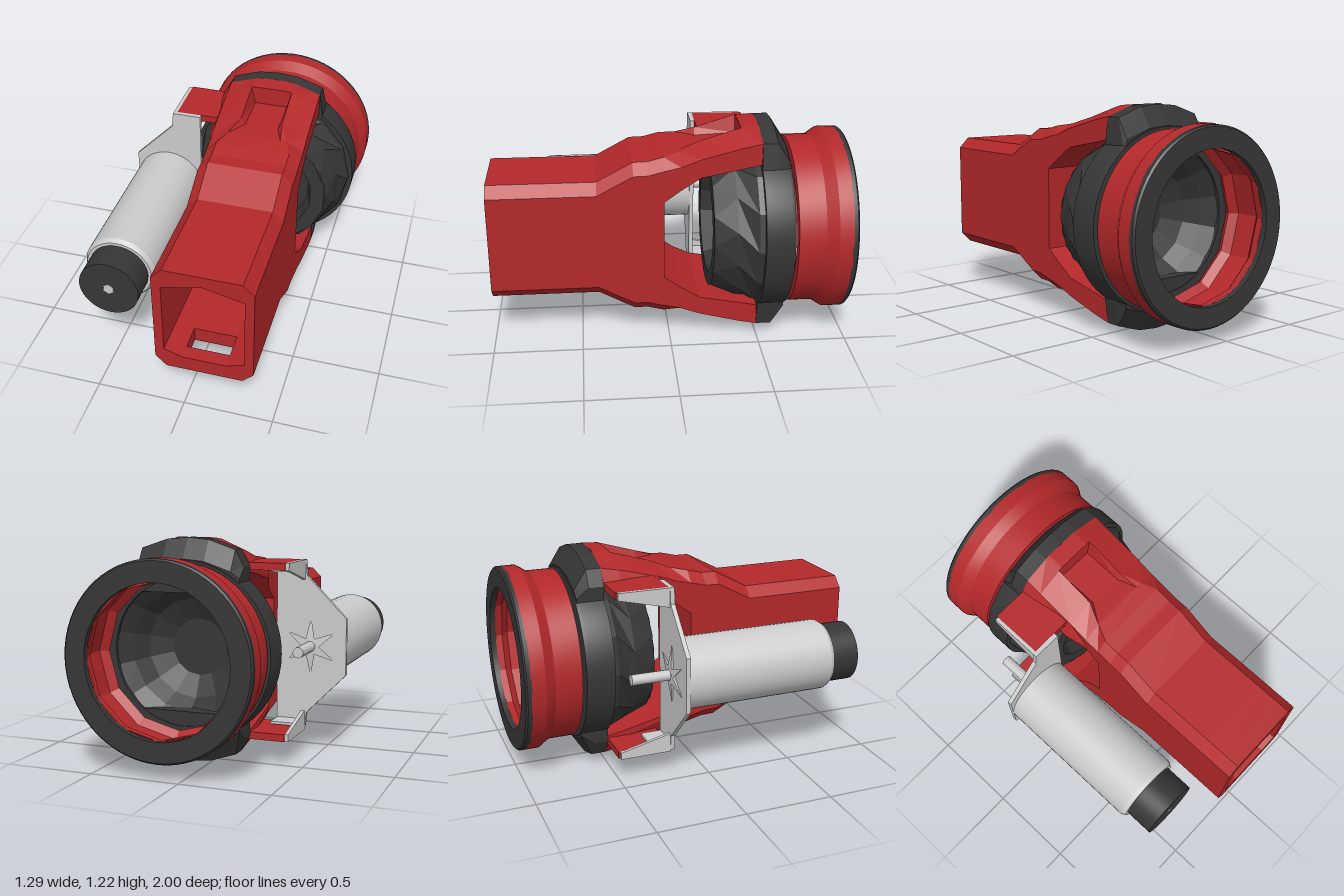
import * as THREE from 'three';
import { toCreasedNormals } from 'three/addons/utils/BufferGeometryUtils.js';

const CX = 0.12, CY = 0.61; // main axis
const MX = -0.45;           // motor axis
const mat = (color, flat = true) =>
  new THREE.MeshStandardMaterial({ color, flatShading: flat, side: THREE.DoubleSide });
const red = mat(0xb3282a), redSmooth = mat(0xb3282a, false);
const black = mat(0x363636), blackSmooth = mat(0x363636, false);
const grey = mat(0xcccccc), greySmooth = mat(0xcccccc, false);

// Skins closed sections [z, [[x, y], ...]] listed from front to back
function loft(sections, { front = true, back = true, skip = () => false } = {}) {
  const pos = [];
  const put = (s, k) => pos.push(s[1][k][0], s[1][k][1], s[0]);
  const n = sections[0][1].length;
  for (let i = 0; i < sections.length - 1; i++) {
    const A = sections[i], B = sections[i + 1];
    for (let j = 0; j < n; j++) {
      if (skip(i, j)) continue;
      const k = (j + 1) % n;
      put(A, j); put(B, j); put(A, k);
      put(A, k); put(B, j); put(B, k);
    }
  }
  const cap = (s, flip) => {
    const pts = s[1].map(([x, y]) => new THREE.Vector2(x, y));
    for (const [a, b, c] of THREE.ShapeUtils.triangulateShape(pts, []))
      (flip ? [a, c, b] : [a, b, c]).forEach(k => put(s, k));
  };
  if (front) cap(sections[0], false);
  if (back) cap(sections[sections.length - 1], true);
  const g = new THREE.BufferGeometry();
  g.setAttribute('position', new THREE.Float32BufferAttribute(pos, 3));
  g.computeVertexNormals();
  return g;
}

// Mirrors sections about the main axis height
const mirrorY = secs => secs.map(([z, p]) =>
  [z, p.map(([x, y]) => [x, 2 * CY - y]).reverse()]);

// Lathe around the z direction, profile of [radius, z]
function turn(profile, segs, smooth = true) {
  const g = new THREE.LatheGeometry(profile.map(p => new THREE.Vector2(...p)), segs);
  g.rotateX(Math.PI / 2);
  return smooth ? toCreasedNormals(g, 0.4) : g;
}

const shape = pts => new THREE.Shape(pts.map(p => new THREE.Vector2(...p)));

export function createModel() {
  const model = new THREE.Group();
  const add = (name, geo, material, x = 0, y = 0, z = 0) => {
    const m = new THREE.Mesh(geo, material);
    m.name = name;
    m.position.set(x, y, z);
    model.add(m);
    return m;
  };

  // Hollow box arm with chamfered corners, flaring toward the fork
  const outer = h => {
    const b = CY - h, t = CY + h;
    return [[-0.09, b], [0, b], [0.24, b], [0.33, b], [0.39, b + 0.06],
      [0.39, t - 0.06], [0.33, t], [-0.09, t], [-0.15, t - 0.06], [-0.15, b + 0.06]];
  };
  const inner = [[-0.1, 0.395], [0, 0.36], [0.24, 0.36], [0.34, 0.395],
    [0.34, 0.83], [0.12, 0.88], [-0.1, 0.83]];
  const slot = (i, j) => i === 1 && j === 1;
  add('armShell', loft([[1, 0.337], [0.92, 0.337], [0.78, 0.337], [0.4, 0.337], [0.2, 0.445],
    [0.12, 0.447], [0.03, 0.47]].map(([z, h]) => [z, outer(h)]), { front: false, skip: slot }), red);
  add('armCavity', loft([1, 0.92, 0.78, 0.06].map(z => [z, inner]), { front: false, skip: slot }), red);
  const rim = shape(outer(0.337));
  rim.holes.push(new THREE.Path(inner.map(p => new THREE.Vector2(...p))));
  add('armRim', new THREE.ShapeGeometry(rim), red, 0, 0, 1);
  const slotWall = new THREE.CylinderGeometry(Math.SQRT1_2, Math.SQRT1_2, 1, 4, 1, true);
  slotWall.rotateY(Math.PI / 4).scale(0.24, 0.086, 0.14);
  add('armSlot', slotWall, red, CX, 0.317, 0.85);

  // Fork prongs: [z, inner y, left x, shoulder y, top y, recess y, half flat]
  const prong = ([z, yi, xl, ys, yt, yr, w]) => [z, [
    [xl, yi], [0.39, yi], [0.39, ys], [CX + w, yt], [CX + w * 0.8, yr],
    [CX - w * 0.8, yr], [CX - w, yt], [Math.max(xl, -0.15), ys], [xl, ys - 0.08]]];
  const prongs = [
    [0.03, 0.84, -0.15, 1.02, 1.08, 1.08, 0.21],
    [-0.06, 0.905, -0.15, 1.04, 1.095, 1.095, 0.17],
    [-0.17, 0.975, -0.19, 1.08, 1.135, 1.095, 0.12],
    [-0.4, 1.02, -0.2, 1.14, 1.205, 1.105, 0.12],
    [-0.401, 1.02, -0.2, 1.14, 1.205, 1.21, 0.12],
    [-0.5, 1.04, -0.2, 1.16, 1.21, 1.218, 0.12]].map(prong);

  // Black clamp pads that carry the prongs onto the ring
  const pad = (z, drop) => [z, [[-0.2, 0.93], [0.41, 0.93], [0.41, 1.02 - drop / 3],
    [0.39, 1.16 - drop], [0.24, 1.21 - drop], [CX, 1.22 - drop], [0, 1.21 - drop],
    [-0.15, 1.16 - drop], [-0.2, 1.07 - drop / 2]]];
  const pads = [pad(-0.5, 0), pad(-0.585, 0), pad(-0.655, 0.11)];

  // Bracket flange outline in (z, y)
  const flange = [[-0.2, 0.98], [-0.2, 1.09], [-0.49, 1.09], [-0.49, 1.05]];

  for (const [side, s] of [['upper', 1], ['lower', -1]]) {
    const flip = secs => (s > 0 ? secs : mirrorY(secs));
    const at = y => CY + s * (y - CY);
    add(side + 'ForkProng', loft(flip(prongs)), red);
    add(side + 'ClampPad', loft(flip(pads)), black);
    add(side + 'MountTab', new THREE.BoxGeometry(0.24, 0.04, 0.3), red, -0.275, at(1.07), -0.35);
    const f = new THREE.ExtrudeGeometry(shape(flange.map(([z, y]) => [-z, at(y)])),
      { depth: 0.02, bevelEnabled: false });
    f.rotateY(Math.PI / 2);
    add(side + 'BracketFlange', f, grey, -0.415, 0, 0);
    add(side + 'BracketShelf', new THREE.BoxGeometry(0.15, 0.015, 0.12), grey, -0.33, at(1.035), -0.26);
  }

  // Black ring joined to the fork
  add('clampRing', turn([[0.4, -0.66], [0.495, -0.66], [0.5, -0.64], [0.5, -0.5], [0.4, -0.5],
    [0.4, -0.66]].reverse(), 64), blackSmooth, CX, CY);

  // Faceted hub, twisted so its flanks break into triangles
  const N = 14;
  const polygon = (r, twist) => Array.from({ length: N }, (_, i) => {
    const a = (i + twist) / N * Math.PI * 2;
    return [CX + r * Math.cos(a), CY + r * Math.sin(a)];
  });
  add('hubShell', loft([[-0.235, polygon(0.385, 0)], [-0.36, polygon(0.43, 0.5)],
    [-0.47, polygon(0.475, 0)], [-0.51, polygon(0.48, 0)]], { front: false, back: false }), black);
  add('hubFace', turn([[0.001, -0.31], [0.27, -0.31], [0.3, -0.235], [0.385, -0.235]], N, false), black, CX, CY);
  add('hubBowl', turn([[0.001, -0.44], [0.16, -0.44], [0.28, -0.5], [0.34, -0.58], [0.42, -0.655]],
    N, false), black, CX, CY);

  // Detached front collar: smooth outside, faceted inside
  add('collar', turn([[0.43, -0.68], [0.485, -0.68], [0.485, -0.83], [0.525, -0.89], [0.525, -0.97]].reverse(),
    64), redSmooth, CX, CY);
  add('collarLining', turn([[0.41, -0.97], [0.41, -0.93], [0.45, -0.89], [0.45, -0.76], [0.41, -0.72],
    [0.435, -0.68]], 12, false), red, CX, CY);
  add('collarCap', turn([[0.525, -0.965], [0.525, -0.99], [0.515, -1], [0.405, -1], [0.405, -0.965],
    [0.525, -0.965]].reverse(), 64), blackSmooth, CX, CY);

  // Motor bracket plate
  const plate = [[-0.25, 0.14], [-0.25, 1.09], [-0.415, 1.09], [-0.425, 1.0], [-0.65, 0.77],
    [-0.65, 0.455], [-0.425, 0.23], [-0.415, 0.14]];
  add('bracketPlate', new THREE.ExtrudeGeometry(shape(plate), { depth: 0.025, bevelEnabled: false }),
    grey, 0, 0, -0.2);

  // Motor, end cap and shaft
  add('motorBody', turn([[0.001, -0.18], [0.2, -0.18], [0.2, 0.675], [0.185, 0.7], [0.001, 0.7]], 40),
    greySmooth, MX, CY);
  add('motorCap', turn([[0.168, 0.69], [0.168, 0.86], [0.03, 0.86]], 40), blackSmooth, MX, CY);
  const rod = (r, z0, z1, n) =>
    new THREE.CylinderGeometry(r, r, z1 - z0, n).rotateX(Math.PI / 2).translate(0, 0, (z0 + z1) / 2);
  add('capNut', rod(0.032, 0.7, 0.862, 6), grey, MX, CY);
  add('motorShaft', rod(0.03, -0.44, -0.19, 12), greySmooth, MX, CY);

  // Stiffening fins around the shaft
  for (let i = 0; i < 6; i++) {
    const fin = new THREE.ConeGeometry(0.035, 0.15, 3).translate(0, 0.09, 0);
    fin.rotateZ(i * Math.PI / 3);
    add('shaftFin', fin, grey, MX, CY, -0.205);
  }

  return model;
}
